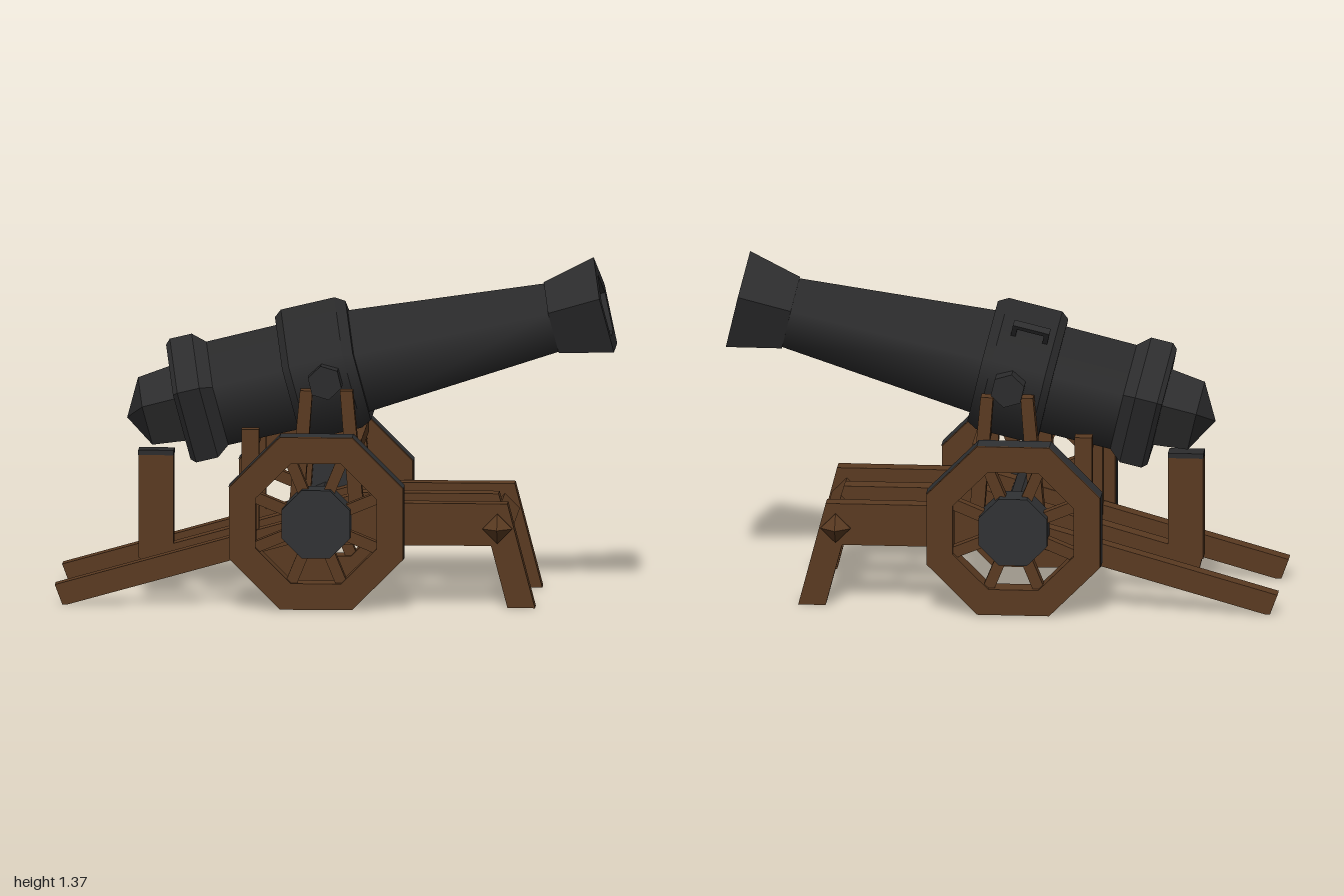
import * as THREE from 'three';
import { mergeGeometries } from 'three/addons/utils/BufferGeometryUtils.js';

const iron = new THREE.MeshStandardMaterial({ color: 0x2c2c2d });
iron.name = 'dark iron';
const tyreIron = new THREE.MeshStandardMaterial({ color: 0x303234 });
tyreIron.name = 'tyre iron';
const wood = new THREE.MeshStandardMaterial({ color: 0x5a3a21 });
wood.name = 'brown wood';

function add(parent, name, geometry, material, x = 0, y = 0, z = 0) {
  const mesh = new THREE.Mesh(geometry, material);
  mesh.name = name;
  mesh.position.set(x, y, z);
  parent.add(mesh);
  return mesh;
}

// Five-sided turned part along +x, corner up; profile is [radius, x] pairs, creased at each ring
function turned(profile, flat) {
  const strips = [];
  for (let i = 0; i < profile.length - 1; i++) {
    const pts = [profile[i], profile[i + 1]].map(([r, t]) => new THREE.Vector2(r, t));
    strips.push(new THREE.LatheGeometry(pts, 5, -Math.PI / 2));
  }
  let g = mergeGeometries(strips).rotateZ(-Math.PI / 2);
  if (flat) {
    g = g.toNonIndexed();
    g.computeVertexNormals();
  }
  return g;
}

// Side-view outline (x, y) sawn from a plank centred on z = 0
function plank(points, width) {
  const shape = new THREE.Shape(points.map(([x, y]) => new THREE.Vector2(x, y)));
  return new THREE.ExtrudeGeometry(shape, { depth: width, bevelEnabled: false }).translate(0, 0, -width / 2);
}

function octagon(r) {
  return Array.from({ length: 8 }, (_, i) => {
    const a = (i + 0.5) * Math.PI / 4;
    return new THREE.Vector2(r * Math.cos(a), r * Math.sin(a));
  });
}

// Flat-sided cylinder along z
function drum(r, length, sides, open = false, turn = 0) {
  const g = new THREE.CylinderGeometry(r, r, length, sides, 1, open, turn).rotateX(Math.PI / 2).toNonIndexed();
  g.computeVertexNormals();
  return g;
}

function createBarrel() {
  const barrel = new THREE.Group();
  barrel.name = 'barrel';
  add(barrel, 'barrelBody', turned([[0.225, -0.5], [0.228, -0.12], [0.222, 0.12], [0.148, 0.93]]), iron);
  add(barrel, 'breechRing', turned([[0, -0.61], [0.25, -0.61], [0.27, -0.59], [0.27, -0.5], [0.225, -0.45]], true), iron);
  add(barrel, 'breechKnob', turned([[0, -0.83], [0.147, -0.75], [0.165, -0.6]], true), iron);
  add(barrel, 'middleBand', turned([[0.22, -0.16], [0.26, -0.16], [0.284, -0.13], [0.284, 0.09], [0.26, 0.13], [0.21, 0.13]]), iron);
  add(barrel, 'muzzle', turned([[0.14, 0.92], [0.155, 0.92], [0.208, 1.138], [0.135, 1.138], [0.11, 0.9], [0, 0.9]], true), iron);

  // Lifting handle on the upper face of the band
  const handle = new THREE.Group();
  handle.name = 'liftingHandle';
  handle.rotation.x = -Math.PI / 5;
  add(handle, 'handleBar', new THREE.BoxGeometry(0.15, 0.02, 0.03), iron, -0.03, 0.285, 0);
  for (const x of [-0.095, 0.035]) add(handle, 'handlePost', new THREE.BoxGeometry(0.02, 0.07, 0.03), iron, x, 0.25, 0);
  barrel.add(handle);

  add(barrel, 'trunnions', drum(0.07, 0.66, 6), iron);
  barrel.position.set(0.05, 0.905, 0);
  barrel.rotation.z = THREE.MathUtils.degToRad(13.5);
  return barrel;
}

function createWheel(side) {
  const wheel = new THREE.Group();
  wheel.name = side > 0 ? 'rightWheel' : 'leftWheel';
  const R = 0.379, width = 0.095;
  const rim = new THREE.Shape(octagon(R - 0.003));
  rim.holes.push(new THREE.Path(octagon(0.262).reverse()));
  add(wheel, 'rim', new THREE.ExtrudeGeometry(rim, { depth: width, bevelEnabled: false }).translate(0, 0, -width / 2), wood);
  add(wheel, 'tyre', drum(R, width, 8, true, Math.PI / 8), tyreIron);
  add(wheel, 'hub', drum(0.148, 0.13, 8, false, Math.PI / 8), tyreIron);
  for (let i = 0; i < 8; i++) {
    const spoke = add(wheel, 'spoke', new THREE.BoxGeometry(0.19, 0.045, 0.05).translate(0.2, 0, 0), wood);
    spoke.rotation.z = (i + 0.5) * Math.PI / 4;
  }
  wheel.position.set(0.02, 0.35, side * 0.372);
  return wheel;
}

function createCarriage() {
  const carriage = new THREE.Group();
  carriage.name = 'carriage';
  const rail = plank([[-1.03, 0.08], [-1, 0], [-0.98, 0], [-0.09, 0.25], [0.76, 0.25], [0.72, 0.42], [0.18, 0.42]], 0.07);
  const leg = plank([[0.67, 0.42], [0.78, 0.42], [0.89, 0], [0.78, 0]], 0.072);
  for (const s of [-1, 1]) {
    add(carriage, 'sideRail', rail, wood, 0, 0, s * 0.275);
    add(carriage, 'frontLeg', leg, wood, 0, 0, s * 0.275);
    // Uprights under the trunnions, leaning together, and a shorter post behind
    add(carriage, 'rearPost', new THREE.BoxGeometry(0.07, 0.46, 0.06), wood, -0.25, 0.48, s * 0.265);
    add(carriage, 'trunnionPost', plank([[-0.1, 0.34], [-0.04, 0.34], [0.0, 0.87], [-0.05, 0.87]], 0.06), wood, 0, 0, s * 0.275);
    add(carriage, 'trunnionPost', plank([[0.15, 0.34], [0.21, 0.34], [0.16, 0.87], [0.11, 0.87]], 0.06), wood, 0, 0, s * 0.275);
    // Pointed ends of the front cross beam
    const tip = new THREE.ConeGeometry(0.06, 0.05, 4).rotateX(s * Math.PI / 2).toNonIndexed();
    tip.computeVertexNormals();
    add(carriage, 'beamTip', tip, wood, 0.74, 0.32, s * 0.345);
    carriage.add(createWheel(s));
  }
  add(carriage, 'frontCrossBeam', drum(0.06, 0.64, 4), wood, 0.74, 0.32, 0);
  for (const x of [-0.25, 0.17]) add(carriage, 'crossBar', new THREE.BoxGeometry(0.05, 0.05, 0.56), wood, x, 0.645, 0);

  // Central beam carrying the breech rest
  add(carriage, 'centreBeam', plank([[-0.71, 0.17], [-0.69, 0.09], [-0.09, 0.25], [0.78, 0.25], [0.73, 0.42], [0.18, 0.42]], 0.08), wood);
  add(carriage, 'breechPost', plank([[-0.71, 0.15], [-0.57, 0.18], [-0.57, 0.57], [-0.71, 0.57]], 0.08), wood);
  add(carriage, 'breechRest', new THREE.BoxGeometry(0.142, 0.02, 0.082), iron, -0.64, 0.575, 0);
  add(carriage, 'axle', drum(0.06, 0.7, 8), iron, 0.02, 0.35, 0);
  return carriage;
}

export function createModel() {
  const model = new THREE.Group();
  model.name = 'cannon';
  const turnedFrame = new THREE.Group();
  turnedFrame.name = 'cannonAssembly';
  turnedFrame.add(createBarrel(), createCarriage());
  turnedFrame.rotation.y = THREE.MathUtils.degToRad(40.4);
  turnedFrame.position.set(-0.008, 0, -0.01);
  model.add(turnedFrame);
  return model;
}
